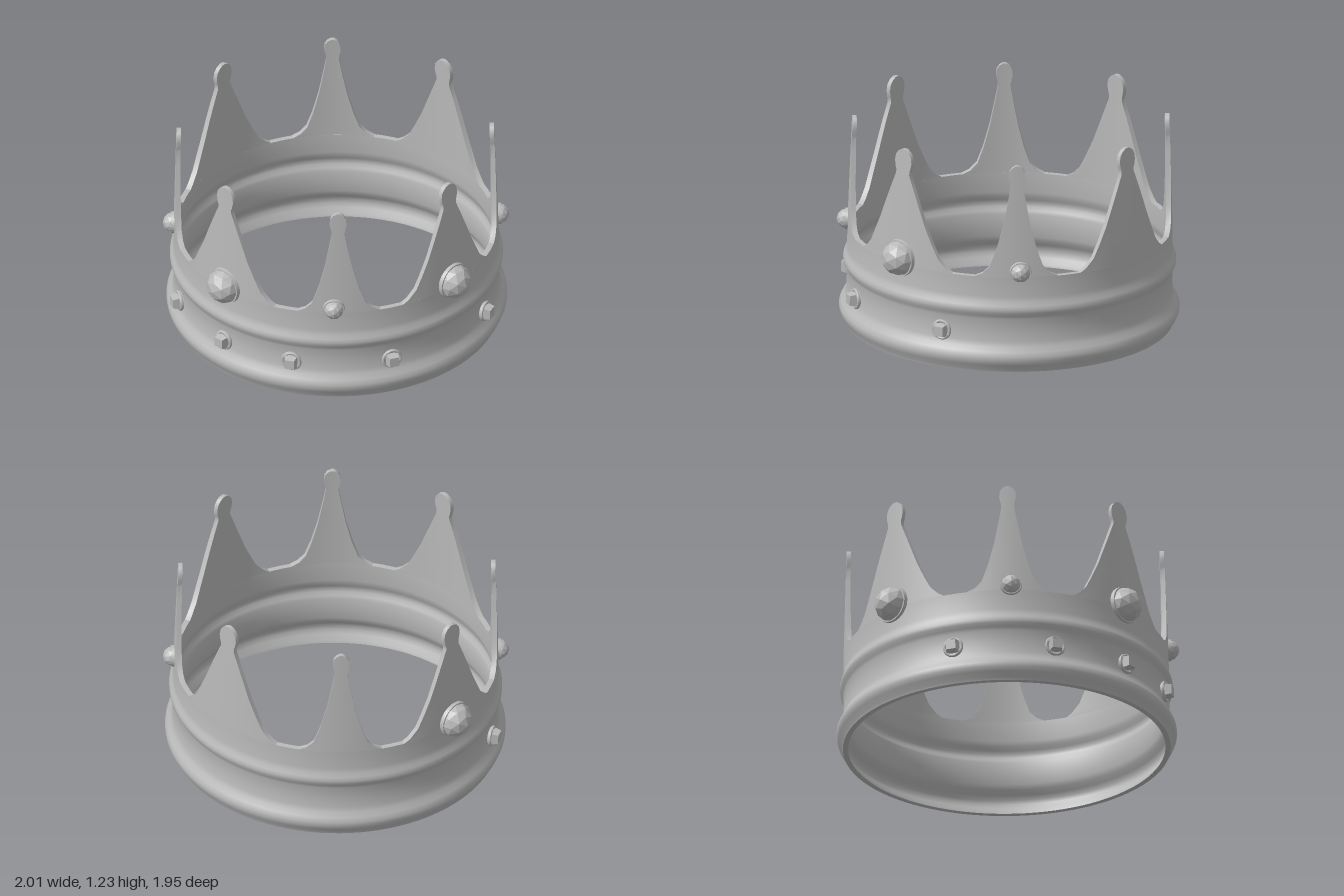
import * as THREE from 'three';
import { toCreasedNormals } from 'three/addons/utils/BufferGeometryUtils.js';

const metal = new THREE.MeshStandardMaterial({ color: 0xbababa });
metal.name = 'plain grey metal';

function part(name, geometry, crease = 0.6) {
  const mesh = new THREE.Mesh(toCreasedNormals(geometry, crease), metal);
  mesh.name = name;
  return mesh;
}

// Closed wall profile [radius, y]: outer side upwards, inner side downwards
function makeBand() {
  const outer = [
    [0.908, 0.015], [0.913, 0.03], [0.932, 0.06], [0.942, 0.085], [0.942, 0.11], [0.93, 0.135],
    [0.912, 0.16], [0.903, 0.19], [0.901, 0.25], [0.901, 0.32], [0.908, 0.34], [0.92, 0.36],
    [0.922, 0.38], [0.916, 0.4], [0.905, 0.42], [0.9, 0.45], [0.9, 0.565],
  ];
  const inner = outer.map(([r, y]) => [r - 0.03, y]).reverse();
  const points = [...outer, ...inner, outer[0]].map(([r, y]) => new THREE.Vector2(r, y));
  return part('band', new THREE.LatheGeometry(points, 96));
}

// Spike outlines: [y, half width along the wall], ending in a round knob
const LARGE = [[0.565, 0.34], [0.585, 0.305], [0.635, 0.255], [0.71, 0.215], [0.8, 0.17], [0.9, 0.128],
  [1.0, 0.085], [1.08, 0.05], [1.1, 0.05], [1.115, 0.056], [1.15, 0.063], [1.185, 0.057], [1.21, 0.038], [1.224, 0.012]];
const SMALL = [[0.565, 0.235], [0.585, 0.19], [0.625, 0.15], [0.72, 0.115], [0.85, 0.08], [1.0, 0.05],
  [1.08, 0.036], [1.1, 0.039], [1.14, 0.048], [1.175, 0.044], [1.197, 0.028], [1.208, 0.008]];

// Curved plate following the wall, lofted through its rows
function makeSpike(name, rows, angle) {
  const n = 12, loop = 2 * (n + 1), pos = [], index = [];
  for (const [y, half] of rows) {
    const t = (y - 0.565) / 0.65;
    const rOut = 0.9 - 0.022 * t, rIn = rOut - 0.03 + 0.006 * t;
    for (let k = 0; k < loop; k++) {
      const outside = k <= n;
      const i = outside ? k : loop - 1 - k;
      const a = angle + (half * (2 * i / n - 1)) / 0.9;
      const r = outside ? rOut : rIn;
      pos.push(r * Math.sin(a), y, r * Math.cos(a));
    }
  }
  for (let j = 0; j < rows.length - 1; j++) {
    for (let k = 0; k < loop; k++) {
      const a = j * loop + k, b = j * loop + (k + 1) % loop;
      index.push(a, b, b + loop, a, b + loop, a + loop);
    }
  }
  const top = (rows.length - 1) * loop;
  for (let i = 0; i < n; i++) {
    index.push(top + i, top + i + 1, top + loop - 2 - i, top + i, top + loop - 2 - i, top + loop - 1 - i);
  }
  const g = new THREE.BufferGeometry();
  g.setAttribute('position', new THREE.Float32BufferAttribute(pos, 3));
  g.setIndex(index);
  return part(name, g);
}

// Group at the wall whose +z points outwards
function mount(name, angle, radius, y) {
  const g = new THREE.Group();
  g.name = name;
  g.position.set(radius * Math.sin(angle), y, radius * Math.cos(angle));
  g.rotation.y = angle;
  return g;
}

// Faceted dome in a round collar
function makeDomeGem(name, angle, size) {
  const g = mount(name, angle, 0.904, 0.595);
  const dome = new THREE.IcosahedronGeometry(size, 1);
  const p = dome.attributes.position;
  for (let i = 0; i < p.count; i++) p.setZ(i, Math.max(p.getZ(i), -0.012));
  const collar = new THREE.CylinderGeometry(size + 0.003, size + 0.008, 0.036, 28).rotateX(Math.PI / 2);
  const collarMesh = part('collar', collar);
  collarMesh.position.z = -0.008;
  g.add(part('dome', dome, 0.01), collarMesh);
  return g;
}

// Square cut stone inside a round rim
function makeSquareGem(angle) {
  const g = mount('squareGem', angle, 0.9, 0.235);
  const rim = part('rim', new THREE.TorusGeometry(0.049, 0.01, 8, 24), 1);
  rim.position.z = 0.012;
  const base = part('setting', new THREE.CylinderGeometry(0.05, 0.055, 0.025, 24).rotateX(Math.PI / 2));
  const stone = part('stone', new THREE.CylinderGeometry(0.039, 0.052, 0.05, 4)
    .rotateY(Math.PI / 4).rotateX(Math.PI / 2), 0.01);
  stone.position.z = 0.032;
  g.add(rim, base, stone);
  return g;
}

export function createModel() {
  const model = new THREE.Group();
  model.name = 'crown';
  const ring = new THREE.Group();
  ring.name = 'ring';
  ring.position.z = -0.04;
  ring.rotation.z = 0.011; // slight lean
  model.add(ring);

  ring.add(makeBand());
  for (let i = 0; i < 4; i++) {
    const a = i * Math.PI / 2;
    ring.add(makeSpike('largeSpike', LARGE, a), makeSpike('smallSpike', SMALL, a + Math.PI / 4));
  }

  // Large gems at the front and sides, medium ones on three small spikes
  for (const a of [0.017, Math.PI / 2, -Math.PI / 2]) ring.add(makeDomeGem('largeGem', a, 0.1));
  for (const a of [0.755, -0.77, 2.38]) ring.add(makeDomeGem('mediumGem', a, 0.056));

  // Square gems along the lower band
  for (const a of [0.015, 0.49, -0.5, 1.11, -1.13, 1.89]) ring.add(makeSquareGem(a));
  return model;
}
